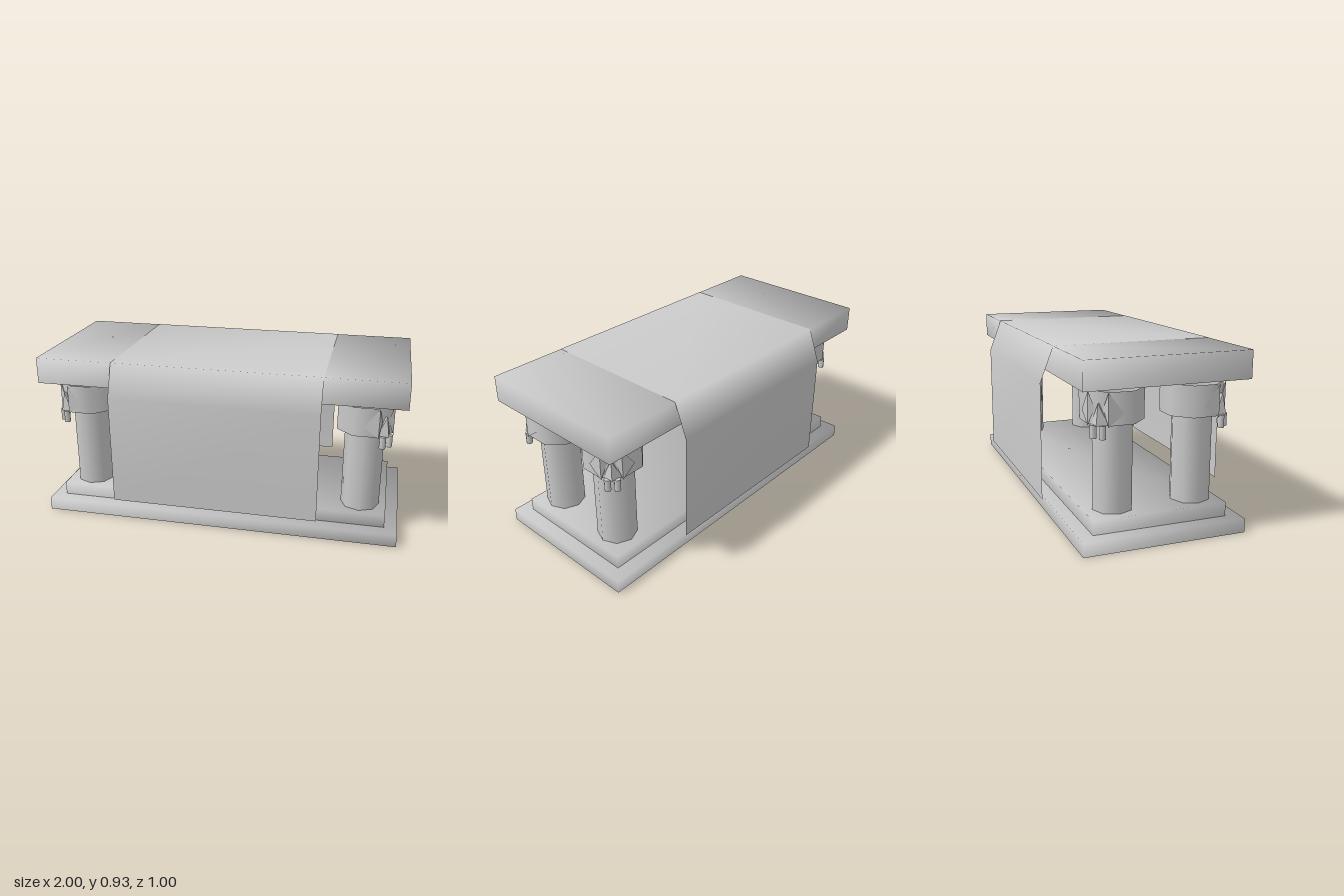
import * as THREE from 'three';
import { mergeVertices } from 'three/addons/utils/BufferGeometryUtils.js';
import { ConvexGeometry } from 'three/addons/geometries/ConvexGeometry.js';

const grey = new THREE.MeshStandardMaterial({ color: 0xcccccc });
const faceted = new THREE.MeshStandardMaterial({ color: 0xcccccc, flatShading: true });
const thin = new THREE.MeshStandardMaterial({ color: 0xcccccc, side: THREE.DoubleSide });

const CLOTH_HALF = 0.57;

function add(parent, name, geometry, material, x = 0, y = 0, z = 0) {
  const mesh = new THREE.Mesh(geometry, material);
  mesh.name = name;
  mesh.position.set(x, y, z);
  parent.add(mesh);
}

// Share corners so the shading runs smoothly over the edges
function smooth(geometry) {
  geometry.deleteAttribute('normal');
  geometry.deleteAttribute('uv');
  const merged = mergeVertices(geometry);
  merged.computeVertexNormals();
  return merged;
}

// Hollow slab without an underside, shaded softly around its corners
function slab(parent, name, width, depth, y0, y1, segments = 1) {
  const box = new THREE.BoxGeometry(width, y1 - y0, depth, segments);
  const { start, count } = box.groups[3]; // underside
  box.setIndex(Array.from(box.index.array).filter((_, i) => i < start || i >= start + count));
  box.clearGroups();
  const shell = smooth(box);
  const pos = shell.attributes.position;
  const normal = new THREE.Vector3();
  for (let i = 0; i < pos.count; i++) {
    const x = pos.getX(i);
    const atEnd = Math.abs(x) > width / 2 - 0.01;
    // inner rows line up with the cloth edges
    if (!atEnd) pos.setX(i, Math.sign(x) * CLOTH_HALF);
    normal.set(atEnd ? Math.sign(x) : 0, pos.getY(i) > 0 ? 1 : 0, Math.sign(pos.getZ(i))).normalize();
    shell.attributes.normal.setXYZ(i, normal.x, normal.y, normal.z);
  }
  add(parent, name, shell, thin, 0, (y0 + y1) / 2, 0);
}

const hull = (points) => new ConvexGeometry(points.map((p) => new THREE.Vector3(...p)));

// Cloth: a sheet whose rows follow a side profile of [z, y] points
function clothGeometry() {
  const profile = [[-0.5, 0.145], [-0.5, 0.75], [-0.43, 0.931], [0.43, 0.931], [0.5, 0.75], [0.5, 0.145]];
  const sheet = new THREE.PlaneGeometry(CLOTH_HALF * 2, 1, 1, profile.length - 1);
  const pos = sheet.attributes.position;
  for (let i = 0; i < pos.count; i++) {
    const [z, y] = profile[Math.floor(i / 2)];
    pos.setXYZ(i, pos.getX(i), y, z);
  }
  return smooth(sheet);
}

// Open eight-sided tube
const tube = (radius, height) => new THREE.CylinderGeometry(radius, radius, height, 8, 1, true);

// Column with an eight-sided capital; sx and sz point to the outer corner
function column(sx, sz) {
  const group = new THREE.Group();
  group.name = 'column';
  add(group, 'columnShaft', tube(0.106, 0.447), thin, 0, 0.3685, 0.004);

  const a = 0.146; // half width of the capital
  const capital = tube(a / Math.cos(Math.PI / 8), 0.16).rotateY(Math.PI / 8);
  add(group, 'capital', capital, thin, 0, 0.68, 0);

  // Pointed wings on the two faces beside the outer corner
  const place = ([x, y, z]) => [x * sx, y, z * sz];
  const wing = [[a + 0.004, 0.76, 0.075], [a + 0.004, 0.655, -0.005], [a + 0.004, 0.595, 0.075], [0.12, 0.68, 0.09]];
  add(group, 'capitalWing', hull(wing.map(place)), faceted);
  add(group, 'capitalWing', hull(wing.map(([x, y, z]) => place([z, y, x]))), faceted);

  // Ornament on the corner face: t runs along the face, d outward
  const corner = ([t, y, d]) => place([(d + t) * Math.SQRT1_2, y, (d - t) * Math.SQRT1_2]);
  const leaf = [[-0.046, 0.6, 0.14], [0.046, 0.6, 0.14], [0, 0.6, 0.18], [0, 0.705, 0.16], [0, 0.705, 0.14]];
  add(group, 'leaf', hull(leaf.map(corner)), faceted);
  for (const t of [-0.024, 0.024]) {
    const peg = new THREE.CylinderGeometry(0.017, 0.017, 0.065, 8);
    add(group, 'peg', peg, grey, ...corner([t, 0.57, 0.161]));
  }
  return group;
}

export function createModel() {
  const model = new THREE.Group();
  model.name = 'altarTable';

  // Stepped base and table top
  slab(model, 'base', 2, 0.86, 0, 0.072);
  slab(model, 'baseStep', 1.86, 0.714, 0.072, 0.145);
  slab(model, 'tableTop', 2, 0.86, 0.787, 0.93, 3);

  // Four columns, ornaments turned to the outer corners
  for (const sx of [-1, 1]) {
    for (const sz of [-1, 1]) {
      const c = column(sx, sz);
      c.position.set(sx * 0.786, 0, sz > 0 ? 0.22 : -0.208);
      model.add(c);
    }
  }

  // Cloth draped over the top, hanging front and back
  add(model, 'cloth', clothGeometry(), thin);
  return model;
}
